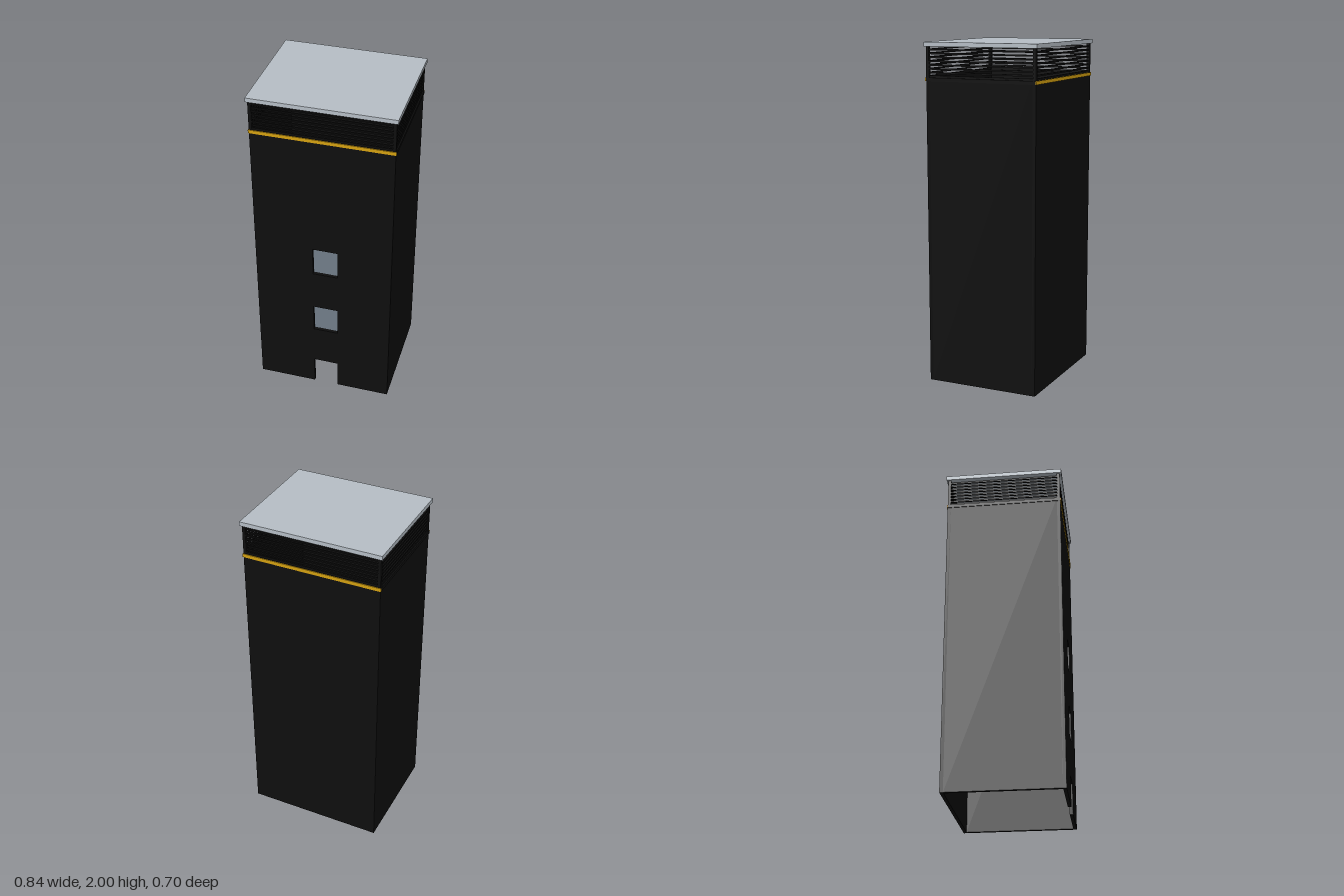
import * as THREE from 'three';

export function createModel() {
  const tower = new THREE.Group();
  tower.name = 'tower';
  const mat = (name, color) => {
    const m = new THREE.MeshStandardMaterial({ color });
    m.name = name;
    return m;
  };
  const black = mat('black cladding', 0x0e0e0e);
  const gold = mat('gold trim', 0xd4a010);
  const pale = mat('pale roof', 0xb6bec6);
  const slate = mat('slate floor', 0x66717b);

  const W = 0.41, D = 0.34, T = 0.02;   // half width, half depth, wall thickness
  const WALL_TOP = 1.8, ROOF_Y = 1.975;

  // box given by its lower and upper corners
  const box = (name, material, x0, y0, z0, x1, y1, z1) => {
    const mesh = new THREE.Mesh(new THREE.BoxGeometry(x1 - x0, y1 - y0, z1 - z0), material);
    mesh.position.set((x0 + x1) / 2, (y0 + y1) / 2, (z0 + z1) / 2);
    mesh.name = name;
    tower.add(mesh);
  };

  // front wall with a doorway notch and two window openings
  const OX0 = -0.06, OX1 = 0.09, OH = 0.18;
  const floors = [0.435, 0.87];
  const outline = new THREE.Shape([
    [-W, 0], [OX0, 0], [OX0, OH], [OX1, OH], [OX1, 0], [W, 0], [W, WALL_TOP], [-W, WALL_TOP],
  ].map(([x, y]) => new THREE.Vector2(x, y)));
  for (const y of floors) {
    outline.holes.push(new THREE.Path([
      [OX0, y], [OX0, y + OH], [OX1, y + OH], [OX1, y],
    ].map(([x, v]) => new THREE.Vector2(x, v))));
  }
  const front = new THREE.Mesh(
    new THREE.ExtrudeGeometry(outline, { depth: T, bevelEnabled: false }), black);
  front.position.z = D - T;
  front.name = 'frontWall';
  tower.add(front);

  // remaining walls, open at the bottom
  box('backWall', black, -W, 0, -D, W, WALL_TOP, -D + T);
  for (const s of [-1, 1]) {
    const x = s * (W - T / 2);
    box('sideWall', black, x - T / 2, 0, -D + T, x + T / 2, WALL_TOP, D - T);
  }

  // floor slabs level with the window sills
  for (const y of floors) {
    box('floorSlab', slate, -W + T, y - 0.045, -D + T, W - T, y, D - T);
  }

  // trim bands: gold on front and back, black on the sides
  for (const s of [-1, 1]) {
    const z = s * (D + 0.002), x = s * (W + 0.002);
    box('goldBand', gold, -W - 0.004, 1.78, z - 0.003, W + 0.004, 1.8, z + 0.003);
    box('sideBand', black, x - 0.002, 1.78, -D, x + 0.002, 1.8, D);
  }

  // louvred storey: corner posts, sills and slats
  const P = 0.018;
  for (const sx of [-1, 1]) for (const sz of [-1, 1]) {
    const x = sx * (W - P / 2), z = sz * (D - P / 2);
    box('cornerPost', black, x - P / 2, WALL_TOP, z - P / 2, x + P / 2, ROOF_Y, z + P / 2);
  }
  const rails = (name, y, h) => {
    for (const s of [-1, 1]) {
      const z = s * (D - P / 2), x = s * (W - P / 2);
      box(name, black, -W + P, y - h / 2, z - 0.005, W - P, y + h / 2, z + 0.005);
      box(name, black, x - 0.005, y - h / 2, -D + P, x + 0.005, y + h / 2, D - P);
    }
  };
  rails('louvreSill', 1.806, 0.012);
  for (let i = 0; i < 7; i++) rails('louvreSlat', 1.827 + i * 0.0217, 0.009);

  // overhanging flat roof
  box('roof', pale, -0.42, ROOF_Y, -0.35, 0.42, 2, 0.35);

  return tower;
}
